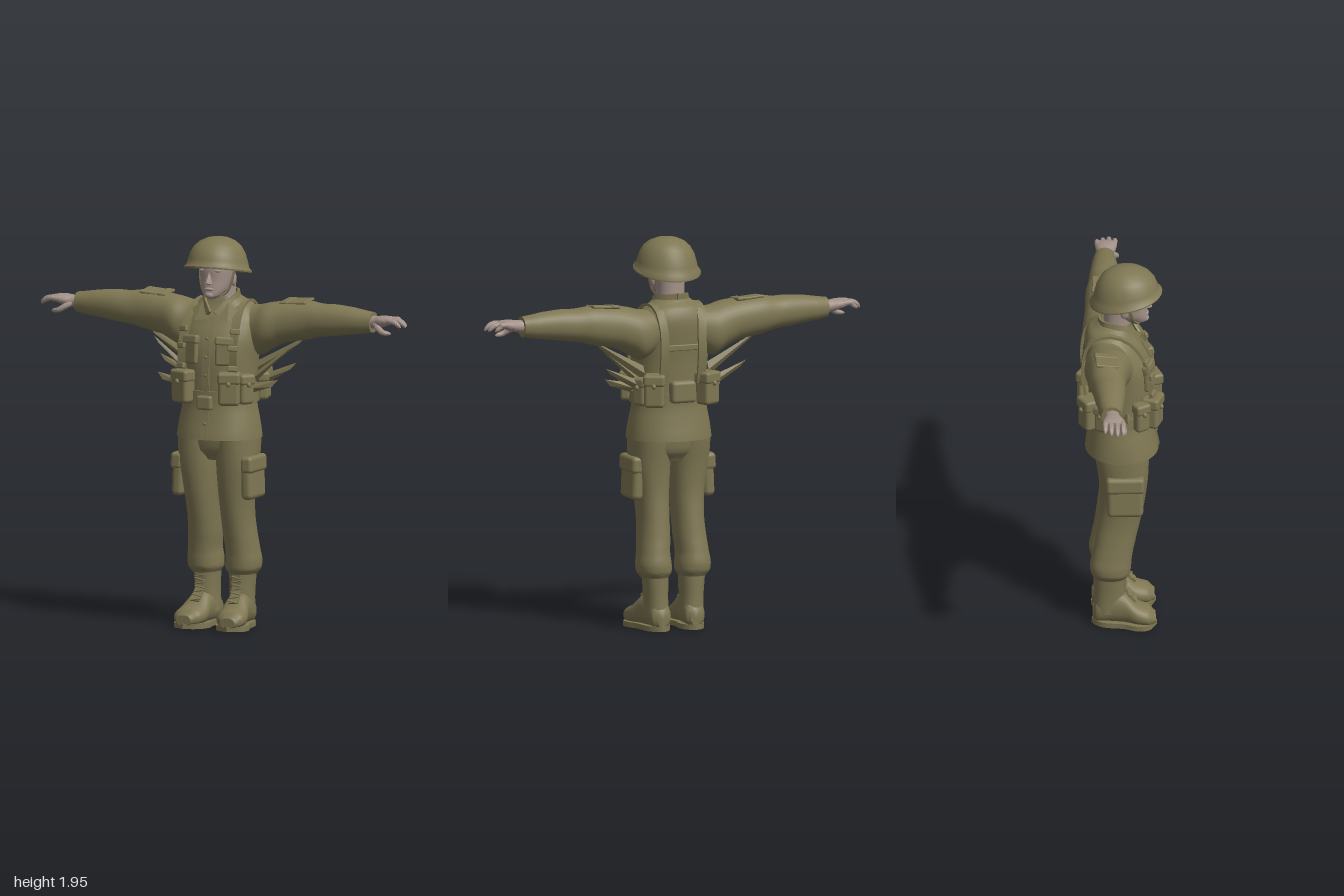
import * as THREE from 'three';
import { toCreasedNormals } from 'three/addons/utils/BufferGeometryUtils.js';
import { RoundedBoxGeometry } from 'three/addons/geometries/RoundedBoxGeometry.js';
import { ConvexGeometry } from 'three/addons/geometries/ConvexGeometry.js';

const V = (x, y, z) => new THREE.Vector3(x, y, z);

// Skin a list of rings (arrays of Vector3) and close both ends
function skin(rings, crease = 0.8) {
  const pos = [], idx = [], n = rings[0].length;
  rings.forEach(r => r.forEach(p => pos.push(p.x, p.y, p.z)));
  for (let i = 0; i < rings.length - 1; i++) for (let j = 0; j < n; j++) {
    const a = i * n + j, b = i * n + (j + 1) % n;
    idx.push(a, a + n, b, b, a + n, b + n);
  }
  [0, rings.length - 1].forEach((k, end) => {
    const c = rings[k].reduce((s, p) => s.add(p), V(0, 0, 0)).divideScalar(n);
    const ci = pos.length / 3;
    pos.push(c.x, c.y, c.z);
    for (let j = 0; j < n; j++) {
      const a = k * n + j, b = k * n + (j + 1) % n;
      end ? idx.push(ci, b, a) : idx.push(ci, a, b);
    }
  });
  const g = new THREE.BufferGeometry();
  g.setAttribute('position', new THREE.Float32BufferAttribute(pos, 3));
  g.setIndex(idx);
  return toCreasedNormals(g, crease);
}

// Loft along an axis; sections: [t, centreA, centreB, radiusA, radiusB], smoothed between
const PLACE = {
  y: (t, a, b) => V(a, t, b), // a = x, b = z
  x: (t, a, b) => V(t, b, a), // a = z, b = y
  z: (t, a, b) => V(b, a, t), // a = y, b = x
};
function loft(axis, secs, { power = 2.2, sides = 32, steps = 4 } = {}) {
  const rings = [], last = secs.length - 1;
  for (let k = 0; k <= last * steps; k++) {
    const i = Math.min(Math.floor(k / steps), last - 1), f = k / steps - i;
    const s = [0, 1, 2, 3, 4].map(c => {
      const p = d => secs[THREE.MathUtils.clamp(i + d, 0, last)][c];
      if (c === 0) return p(0) + (p(1) - p(0)) * f;
      const m0 = (p(1) - p(-1)) / 2, m1 = (p(2) - p(0)) / 2, f2 = f * f, f3 = f2 * f;
      return (2 * f3 - 3 * f2 + 1) * p(0) + (f3 - 2 * f2 + f) * m0 + (3 * f2 - 2 * f3) * p(1) + (f3 - f2) * m1;
    });
    const bend = v => Math.sign(v) * Math.abs(v) ** (2 / power);
    rings.push(Array.from({ length: sides }, (_, j) => {
      const q = j / sides * Math.PI * 2;
      return PLACE[axis](s[0], s[1] + s[3] * bend(Math.cos(q)), s[2] + s[4] * bend(Math.sin(q)));
    }));
  }
  return skin(rings);
}

// Sweep a flat strap, or a round tapering finger, along points; dir = width direction
function sweep(points, w, th, dir = V(1, 0, 0), round = false) {
  const curve = new THREE.CatmullRomCurve3(points.map(p => V(...p))), N = 16, rings = [];
  for (let i = 0; i <= N; i++) {
    const u = i / N, c = curve.getPoint(u), t = curve.getTangent(u);
    const wd = dir.clone().addScaledVector(t, -dir.dot(t)).normalize();
    const nd = wd.clone().cross(t);
    const k = round ? (1 - 0.2 * u) * Math.sqrt(Math.max(0.03, 1 - u ** 8)) : 1;
    const ring = round
      ? Array.from({ length: 10 }, (_, j) => [Math.cos(j * Math.PI / 5), Math.sin(j * Math.PI / 5)])
      : [[1, 1], [-1, 1], [-1, -1], [1, -1]];
    rings.push(ring.map(([a, b]) => c.clone().addScaledVector(wd, a * w * k).addScaledVector(nd, b * th * k)));
  }
  return skin(rings);
}

function box(w, h, d, p, r = [0, 0, 0], radius = 0.012) {
  const g = new RoundedBoxGeometry(w, h, d, 2, Math.min(radius, w / 2.1, h / 2.1, d / 2.1));
  return g.applyMatrix4(new THREE.Matrix4().makeRotationFromEuler(new THREE.Euler(...r)).setPosition(...p));
}
const ball = (rx, ry, rz, p) => new THREE.SphereGeometry(1, 16, 12).scale(rx, ry, rz).translate(...p);
const hull = pts => new ConvexGeometry(pts.map(p => V(...p)));

// Mirrored copy with the corner order put right
function mirrored(geo) {
  const g = geo.index ? geo.toNonIndexed() : geo.clone();
  for (const name of ['position', 'normal']) {
    const a = g.attributes[name].array;
    for (let i = 0; i < a.length; i += 3) a[i] = -a[i];
    for (let i = 0; i < a.length; i += 9) for (let c = 0; c < 3; c++) [a[i + 3 + c], a[i + 6 + c]] = [a[i + 6 + c], a[i + 3 + c]];
  }
  return g;
}

export function createModel() {
  const root = new THREE.Group();
  root.name = 'soldier';
  const olive = new THREE.MeshStandardMaterial({ color: 0x7f7753, side: THREE.DoubleSide });
  olive.name = 'olive cloth';
  const flesh = new THREE.MeshStandardMaterial({ color: 0xa39188 });
  flesh.name = 'skin';
  const add = (name, geo, mat = olive) => {
    const m = new THREE.Mesh(geo, mat);
    m.name = name;
    root.add(m);
  };
  const pair = (name, geo, mat) => {
    add(name + 'Left', geo, mat);
    add(name + 'Right', mirrored(geo), mat);
  };

  // Jacket, hips and belt
  add('jacket', loft('y', [
    [0.95, 0, 0.008, 0.213, 0.182], [1.03, 0, 0.006, 0.203, 0.168], [1.12, 0, 0.004, 0.186, 0.155],
    [1.22, 0, 0.003, 0.184, 0.158], [1.35, 0, 0, 0.192, 0.162], [1.45, 0, -0.015, 0.203, 0.158],
    [1.55, 0, -0.042, 0.195, 0.135], [1.61, 0, -0.05, 0.145, 0.108], [1.65, 0, -0.03, 0.085, 0.078]]));
  add('hips', loft('y', [[0.84, 0, 0.005, 0.1, 0.09], [0.89, 0, 0.005, 0.185, 0.122], [0.98, 0, 0.005, 0.2, 0.135]]));
  add('belt', loft('y', [[1.13, 0, 0.004, 0.197, 0.17], [1.19, 0, 0.003, 0.196, 0.17]]));
  add('beltBuckle', box(0.08, 0.07, 0.04, [0, 1.135, 0.175]));
  add('placket', sweep([[0, 0.955, 0.189], [0, 1.1, 0.163], [0, 1.3, 0.165], [0, 1.45, 0.145], [0, 1.55, 0.098]], 0.018, 0.004));
  for (const [y, z] of [[1.03, 0.18], [1.27, 0.168], [1.36, 0.165], [1.45, 0.15]]) add('button', ball(0.008, 0.008, 0.005, [0, y, z]));

  // Collar and lapels
  pair('collar', sweep([[0, 1.655, -0.105], [0.06, 1.65, -0.085], [0.088, 1.64, -0.01], [0.065, 1.61, 0.05], [0.025, 1.56, 0.09]],
    0.024, 0.006, V(-0.25, 0.95, -0.1)));
  pair('lapel', hull([[0.01, 1.545, 0.102], [0.07, 1.625, 0.05], [0.135, 1.578, 0.06], [0.09, 1.532, 0.108], [0.07, 1.56, 0.08]]));

  // Chest pockets, webbing straps and fittings
  pair('chestPocket', box(0.105, 0.13, 0.03, [0.098, 1.385, 0.14], [-0.05, 0.35, 0]));
  pair('chestPocketFlap', box(0.112, 0.045, 0.035, [0.098, 1.44, 0.137], [-0.2, 0.35, 0]));
  pair('shoulderStrap', sweep([[0.14, 1.24, 0.14], [0.14, 1.4, 0.142], [0.135, 1.5, 0.112], [0.125, 1.59, 0.045],
    [0.115, 1.625, -0.05], [0.11, 1.595, -0.145], [0.1, 1.5, -0.182], [0.1, 1.38, -0.188], [0.1, 1.24, -0.165]], 0.021, 0.007));
  for (const [y, z] of [[1.31, 0.158], [1.41, 0.152], [1.49, 0.125]]) pair('strapClip', box(0.05, 0.028, 0.02, [0.14, y, z], [-0.2, 0.4, 0], 0.006));
  add('backStrap', box(0.19, 0.03, 0.012, [0, 1.42, -0.178], [0, 0, 0], 0.005));

  // Belt pouches: [x, y, z, turn, width, height, depth]
  const pouches = [[0.125, 1.21, 0.158, 0.35, 0.105, 0.165, 0.08], [0.186, 1.205, 0.1, 1.0, 0.075, 0.15, 0.055],
    [0.14, 1.21, -0.155, 2.65, 0.1, 0.165, 0.085], [0.188, 1.2, -0.09, 2.1, 0.075, 0.14, 0.055]];
  for (const [x, y, z, turn, w, h, d] of pouches) {
    const nx = Math.sin(turn), nz = Math.cos(turn);
    pair('pouch', box(w, h, d, [x, y, z], [0, turn, 0], 0.018));
    pair('pouchFlap', box(w + 0.008, h * 0.36, d + 0.01, [x, y + h * 0.32, z], [0, turn, 0], 0.015));
    pair('pouchStud', ball(0.011, 0.013, 0.011, [x + nx * (d / 2 + 0.005), y + h * 0.16, z + nz * (d / 2 + 0.005)]));
  }
  add('backPouch', box(0.13, 0.11, 0.06, [0, 1.2, -0.175], [0, 0, 0], 0.018));

  // Loose pointed straps between waist and upper arm
  const spikes = [[0.17, 1.29, 0.43, 1.46, 0.036, -0.08], [0.18, 1.22, 0.375, 1.325, 0.03, -0.09], [0.18, 1.2, 0.33, 1.25, 0.025, 0.03],
    [0.17, 1.24, 0.38, 1.42, 0.026, -0.03]];
  for (const [x0, y0, x1, y1, w, z] of spikes) {
    pair('looseStrap', hull([[x0, y0 + w, z], [x0, y0 - w, z], [x0, y0, z + 0.02], [x0, y0, z - 0.02],
      [x1, y1, z], [x1 - 0.03, y1 - 0.035, z + 0.008]]));
  }

  // Sleeves, cuffs and arm pockets
  pair('sleeve', loft('x', [
    [0.1, -0.065, 1.5, 0.09, 0.1], [0.19, -0.068, 1.482, 0.112, 0.125], [0.25, -0.06, 1.505, 0.115, 0.117], [0.32, -0.065, 1.527, 0.102, 0.105],
    [0.45, -0.072, 1.543, 0.09, 0.096], [0.53, -0.066, 1.548, 0.082, 0.082], [0.6, -0.064, 1.553, 0.077, 0.078],
    [0.7, -0.062, 1.556, 0.066, 0.067], [0.75, -0.062, 1.555, 0.06, 0.06], [0.81, -0.06, 1.556, 0.05, 0.051]]));
  pair('armPocket', box(0.14, 0.014, 0.11, [0.385, 1.632, -0.075], [0.1, 0, 0.08], 0.006));
  pair('armPocketFlap', box(0.045, 0.016, 0.118, [0.335, 1.631, -0.075], [0.1, 0, 0.08], 0.006));

  // Hands
  pair('palm', loft('x', [[0.78, -0.058, 1.556, 0.038, 0.034], [0.83, -0.056, 1.56, 0.038, 0.03],
    [0.87, -0.052, 1.566, 0.05, 0.028], [0.91, -0.05, 1.572, 0.054, 0.02], [0.93, -0.05, 1.572, 0.046, 0.014]], { sides: 20 }), flesh);
  [[-0.094, 0.965], [-0.065, 0.99], [-0.035, 1.0], [-0.006, 0.985]].forEach(([z, tip]) => pair('finger', sweep(
    [[0.89, 1.572, z * 0.85 - 0.01], [0.93, 1.574, z], [tip - 0.03, 1.568, z], [tip, 1.545, z]], 0.0145, 0.0145, V(0, 0, 1), true), flesh));
  pair('thumb', sweep([[0.83, 1.555, -0.035], [0.86, 1.535, -0.01], [0.89, 1.518, 0], [0.93, 1.512, -0.01]], 0.017, 0.016, V(0, 0, 1), true), flesh);

  // Neck, head and face
  add('neck', loft('y', [[1.56, 0, -0.02, 0.085, 0.078], [1.64, 0, -0.016, 0.07, 0.066], [1.74, 0, -0.01, 0.07, 0.07]]), flesh);
  add('head', loft('y', [[1.645, 0, 0.09, 0.022, 0.03], [1.657, 0, 0.078, 0.043, 0.058], [1.69, 0, 0.05, 0.066, 0.083],
    [1.74, 0, 0.034, 0.079, 0.094], [1.8, 0, 0.028, 0.085, 0.1], [1.86, 0, 0.025, 0.08, 0.088]]), flesh);
  add('nose', hull([[0, 1.785, 0.125], [0, 1.727, 0.158], [0.019, 1.722, 0.125], [-0.019, 1.722, 0.125], [0, 1.715, 0.128],
    [0.009, 1.725, 0.155], [-0.009, 1.725, 0.155], [0.009, 1.78, 0.11], [-0.009, 1.78, 0.11]]), flesh);
  add('lips', ball(0.026, 0.009, 0.012, [0, 1.694, 0.129]), flesh);
  add('chin', ball(0.026, 0.018, 0.02, [0, 1.664, 0.122]), flesh);
  pair('brow', ball(0.026, 0.008, 0.012, [0.034, 1.785, 0.113]), flesh);
  pair('ear', ball(0.012, 0.034, 0.022, [0.083, 1.735, 0.02]), flesh);
  pair('chinStrap', sweep([[0.093, 1.78, 0.035], [0.086, 1.73, 0.048], [0.068, 1.68, 0.06], [0.035, 1.65, 0.085], [0, 1.641, 0.095]],
    0.008, 0.003, V(0, 0, 1)));

  // Helmet: turned shell whose rim rises toward the front
  const profile = [[0, 0.15], [0.09, 0.12], [0.13, 0.06], [0.152, 0.004], [0.165, 0], [0.166, 0.008], [0.152, 0.024],
    [0.146, 0.05], [0.135, 0.088], [0.115, 0.122], [0.088, 0.146], [0.052, 0.162], [0.02, 0.168], [0, 0.169]];
  const shell = new THREE.LatheGeometry(profile.map(p => new THREE.Vector2(...p)), 48).scale(1, 1, 1.08);
  const hp = shell.attributes.position;
  for (let i = 0; i < hp.count; i++) hp.setY(i, hp.getY(i) + hp.getZ(i) * 0.19 * (1 - hp.getY(i) / 0.169));
  add('helmet', toCreasedNormals(shell.translate(0, 1.776, 0.028), 0.8));

  // Trousers with bloused cuffs and cargo pockets
  pair('trouserLeg', loft('y', [
    [0.265, 0.1, -0.05, 0.068, 0.082], [0.29, 0.102, -0.05, 0.084, 0.097], [0.33, 0.104, -0.05, 0.086, 0.102],
    [0.38, 0.103, -0.043, 0.08, 0.1], [0.46, 0.096, -0.028, 0.079, 0.1], [0.56, 0.092, -0.01, 0.077, 0.104],
    [0.68, 0.094, 0.008, 0.084, 0.11], [0.82, 0.102, 0.013, 0.1, 0.122], [0.97, 0.103, 0.005, 0.104, 0.135]]));
  pair('cargoPocket', box(0.06, 0.2, 0.18, [0.188, 0.75, 0.02], [0, 0, 0.04], 0.025));
  pair('cargoPocketFlap', box(0.064, 0.085, 0.19, [0.192, 0.825, 0.02], [0, 0, 0.04], 0.02));

  // Boots
  pair('bootShaft', loft('y', [[0.07, 0.092, -0.055, 0.06, 0.078], [0.16, 0.094, -0.054, 0.058, 0.075],
    [0.24, 0.096, -0.054, 0.062, 0.076], [0.3, 0.098, -0.052, 0.066, 0.078]]));
  pair('bootFoot', loft('z', [
    [-0.138, 0.06, 0.088, 0.04, 0.028], [-0.12, 0.072, 0.09, 0.062, 0.05], [-0.05, 0.095, 0.094, 0.085, 0.058],
    [0.02, 0.09, 0.102, 0.08, 0.064], [0.08, 0.064, 0.11, 0.056, 0.077], [0.14, 0.052, 0.117, 0.044, 0.07], [0.172, 0.042, 0.12, 0.026, 0.04]]));
  const sole = new THREE.Shape(new THREE.SplineCurve([[0.12, 0.178], [0.185, 0.14], [0.196, 0.08], [0.168, 0.01], [0.15, -0.09], [0.09, -0.143],
    [0.032, -0.09], [0.034, 0.01], [0.022, 0.08], [0.05, 0.145], [0.12, 0.178]].map(p => new THREE.Vector2(p[0], -p[1]))).getPoints(40));
  pair('bootSole', toCreasedNormals(new THREE.ExtrudeGeometry(sole, { depth: 0.026, bevelEnabled: false }).rotateX(-Math.PI / 2), 0.7));
  pair('bootTongue', sweep([[0.1, 0.27, 0.02], [0.1, 0.2, 0.022], [0.102, 0.165, 0.04], [0.106, 0.128, 0.075]], 0.024, 0.006));
  for (let i = 0; i < 7; i++) {
    const y = 0.25 - i * 0.019, z = 0.028 + Math.max(0, 0.19 - y) * 0.85;
    pair('bootLace', box(0.056, 0.007, 0.012, [0.101, y, z], [0, 0, i % 2 ? 0.2 : -0.2], 0.003));
  }
  return root;
}
